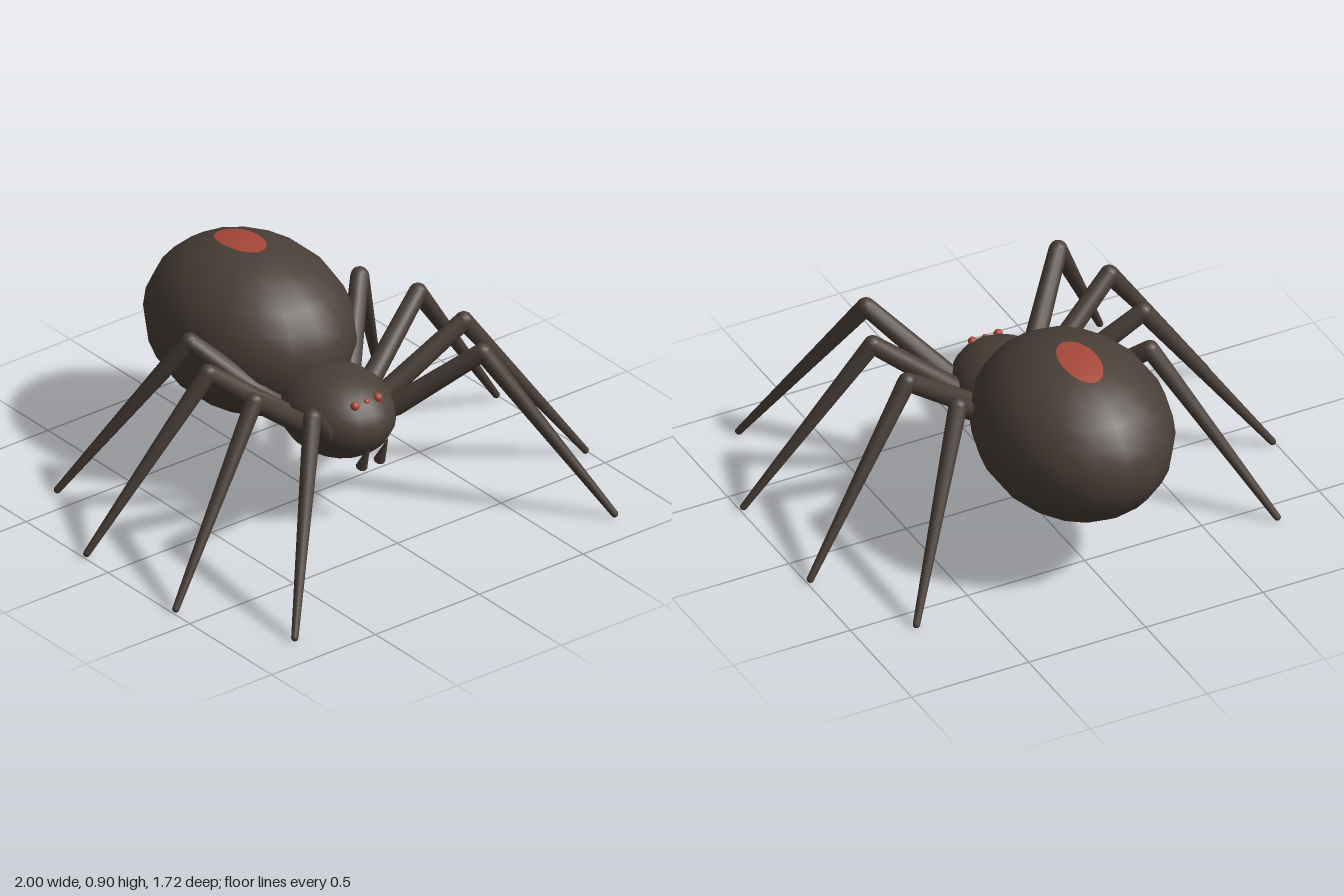
import * as THREE from 'three';

const shell = new THREE.MeshStandardMaterial({ color: 0x4a3f38 });
shell.name = 'dark brown';
const red = new THREE.MeshStandardMaterial({ color: 0xa8483a });
red.name = 'dull red';

const V = (x, y, z) => new THREE.Vector3(x, y, z);

function add(parent, name, geometry, material, position) {
  const mesh = new THREE.Mesh(geometry, material);
  mesh.name = name;
  if (position) mesh.position.copy(position);
  parent.add(mesh);
  return mesh;
}

// Ellipsoid with a meridian on the centre line
function ellipsoid(r, w, h) {
  return new THREE.SphereGeometry(1, w, h).rotateY(Math.PI / 2).scale(r.x, r.y, r.z);
}

// Tapered rod from a to b
function rod(parent, name, a, b, ra, rb, sides = 12) {
  const dir = b.clone().sub(a);
  const mesh = add(parent, name, new THREE.CylinderGeometry(rb, ra, dir.length(), sides), shell,
    a.clone().add(b).multiplyScalar(0.5));
  mesh.quaternion.setFromUnitVectors(V(0, 1, 0), dir.normalize());
}

export function createModel() {
  const model = new THREE.Group();
  model.name = 'spider';

  // Body
  const abdomenAt = V(0, 0.565, -0.4), abdomenR = V(0.37, 0.335, 0.46);
  add(model, 'abdomen', ellipsoid(abdomenR, 18, 14), shell, abdomenAt);
  add(model, 'head', ellipsoid(V(0.21, 0.17, 0.25), 18, 14), shell, V(0, 0.42, 0.13));

  // Oval marking that follows the top of the abdomen
  const patch = new THREE.RingGeometry(0.001, 1, 24, 4).rotateX(-Math.PI / 2);
  const p = patch.attributes.position;
  for (let i = 0; i < p.count; i++) {
    const x = p.getX(i) * 0.075, z = p.getZ(i) * 0.13 - 0.06;
    const y = abdomenR.y * Math.sqrt(1 - (x / abdomenR.x) ** 2 - (z / abdomenR.z) ** 2);
    p.setXYZ(i, x, y + 0.004, z);
  }
  patch.computeVertexNormals();
  add(model, 'abdomenMarking', patch, red, abdomenAt);

  // Three eyes
  for (const [x, r] of [[-0.055, 0.018], [0, 0.013], [0.055, 0.018]]) {
    add(model, 'eye', new THREE.SphereGeometry(r, 10, 8), red, V(x, 0.53, 0.31));
  }

  for (const side of [-1, 1]) {
    // Fang
    rod(model, 'fang', V(side * 0.043, 0.275, 0.335), V(side * 0.043, 0.39, 0.388), 0.023, 0.001, 8);

    // Legs: root, knee and foot, mirrored front to back about z = 0.125
    for (const end of [-1, 1]) {
      const at = (x, y, dz) => V(side * x, y, 0.125 + end * dz);
      const legs = [
        ['outerLeg', at(0.175, 0.435, 0.14), at(0.41, 0.687, 0.375), at(0.77, 0.014, 0.725)],
        ['middleLeg', at(0.19, 0.435, 0.047), at(0.505, 0.687, 0.14), at(0.986, 0.014, 0.272)],
      ];
      for (const [name, root, knee, foot] of legs) {
        const leg = new THREE.Group();
        leg.name = name;
        model.add(leg);
        rod(leg, 'upperLeg', root, knee, 0.042, 0.036);
        rod(leg, 'lowerLeg', knee, foot, 0.036, 0.014);
        add(leg, 'hip', new THREE.SphereGeometry(0.042, 12, 8), shell, root);
        add(leg, 'knee', new THREE.SphereGeometry(0.036, 12, 8), shell, knee);
        add(leg, 'foot', new THREE.SphereGeometry(0.014, 12, 8), shell, foot);
      }
    }
  }
  return model;
}
